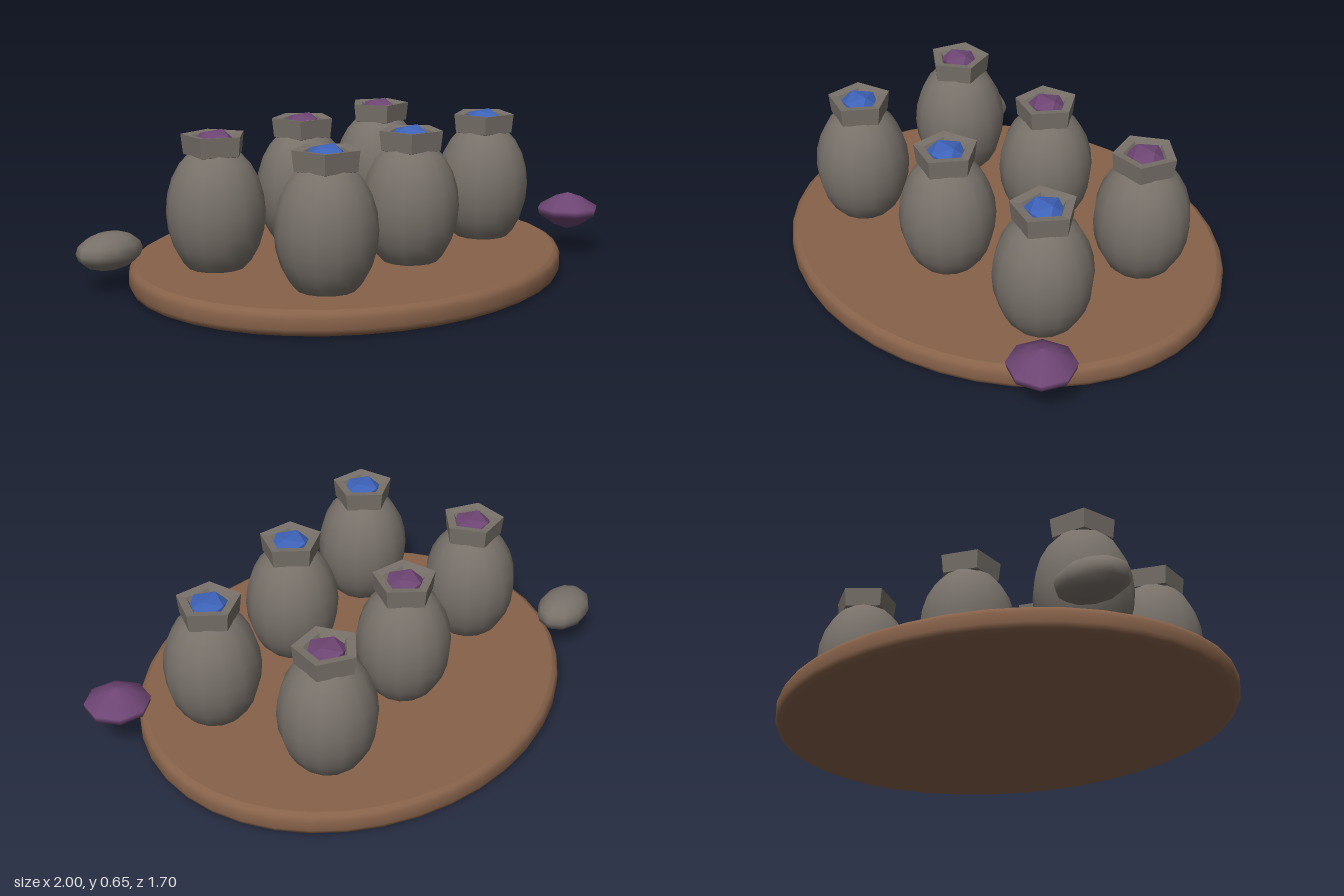
import * as THREE from 'three';

const mat = (name, color) => {
  const m = new THREE.MeshStandardMaterial({ color });
  m.name = name;
  return m;
};

// Lathe from [radius, height] pairs
const lathe = (points, sides) =>
  new THREE.LatheGeometry(points.map(([r, y]) => new THREE.Vector2(r, y)), sides);

export function createModel() {
  const wood = mat('brown wood', 0x87624a);
  const stone = mat('grey stone', 0x78716a);
  const purple = mat('purple', 0x6d4573);
  const blue = mat('blue', 0x3d62b8);

  const model = new THREE.Group();
  model.name = 'jarTray';
  const add = (parent, name, geometry, material) => {
    const mesh = new THREE.Mesh(geometry, material);
    mesh.name = name;
    parent.add(mesh);
    return mesh;
  };

  // Oval tray with a rounded rim
  const tray = add(model, 'tray', lathe([
    [0, 0], [0.97, 0], [0.97, 0], [0.99, 0.01], [1, 0.03],
    [1, 0.07], [0.99, 0.09], [0.97, 0.1], [0.97, 0.1], [0, 0.1],
  ], 40), wood);
  tray.scale.z = 0.85;

  // Shared jar geometry: egg body, five-sided open collar, faceted filling
  const bodyGeo = new THREE.SphereGeometry(1, 14, 12).scale(0.2, 0.28, 0.2);
  const collarGeo = lathe([
    [0.09, 0.55], [0.126, 0.56], [0.135, 0.64], [0.092, 0.635], [0.06, 0.58],
  ], 5).toNonIndexed();
  collarGeo.computeVertexNormals();
  const gemGeo = new THREE.IcosahedronGeometry(0.088).scale(1, 0.6, 1);

  // Two rows of three jars
  [[0.31, blue], [-0.25, purple]].forEach(([z, filling], row) => {
    [-0.56, 0, 0.56].forEach((x, i) => {
      const jar = new THREE.Group();
      jar.name = 'jar';
      jar.position.set(x, 0, z);
      add(jar, 'jarBody', bodyGeo, stone).position.y = 0.325;
      const collar = add(jar, 'jarCollar', collarGeo, stone);
      collar.rotation.y = row === 0 ? Math.PI / 2 : i * 0.3;
      add(jar, 'jarFilling', gemGeo, filling).position.y = 0.61;
      model.add(jar);
    });
  });

  // Loose pieces on the rim of the tray
  const pebble = add(model, 'pebble', new THREE.SphereGeometry(1, 10, 8), stone);
  pebble.scale.set(0.155, 0.077, 0.107);
  pebble.position.set(-0.815, 0.162, -0.6);

  const crystal = add(model, 'looseCrystal', lathe([
    [0, 0.11], [0.06, 0.132], [0.13, 0.182], [0.135, 0.21], [0.06, 0.255], [0, 0.275],
  ], 8), purple);
  crystal.position.set(0.84, 0, 0.587);

  return model;
}
